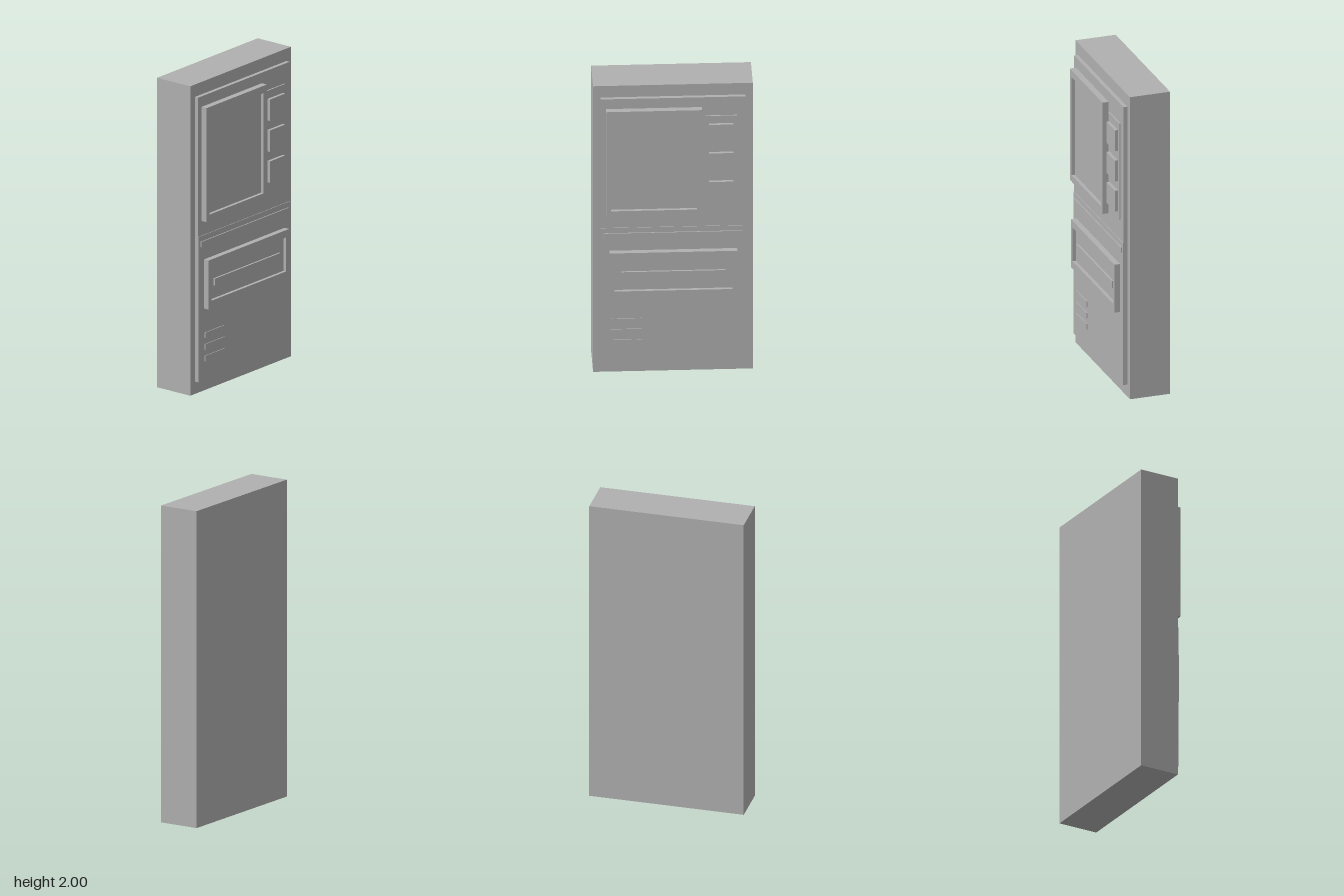
import * as THREE from 'three';

const grey = new THREE.MeshStandardMaterial({ color: 0xb0b0b0 });
grey.name = 'grey';

// Box given by its limits on each axis
function box(name, x0, x1, y0, y1, z0, z1) {
  const mesh = new THREE.Mesh(new THREE.BoxGeometry(x1 - x0, y1 - y0, z1 - z0), grey);
  mesh.position.set((x0 + x1) / 2, (y0 + y1) / 2, (z0 + z1) / 2);
  mesh.name = name;
  return mesh;
}

function trace(path, x0, x1, y0, y1) {
  path.moveTo(x0, y0);
  path.lineTo(x1, y0);
  path.lineTo(x1, y1);
  path.lineTo(x0, y1);
  path.closePath();
  return path;
}

// Rectangular frame with a rectangular opening
function frame(name, outer, inner, z0, z1) {
  const shape = trace(new THREE.Shape(), ...outer);
  shape.holes.push(trace(new THREE.Path(), ...inner));
  const geometry = new THREE.ExtrudeGeometry(shape, { depth: z1 - z0, bevelEnabled: false });
  const mesh = new THREE.Mesh(geometry, grey);
  mesh.position.z = z0;
  mesh.name = name;
  return mesh;
}

export function createModel() {
  const model = new THREE.Group();
  model.name = 'wallTerminal';

  // Cabinet and its front panels
  model.add(
    box('cabinet', -0.49, 0.49, 0, 2, -0.164, 0.098),
    box('frontPanel', -0.445, 0.445, 0.08, 1.92, 0.09, 0.123),
    box('lowerPanel', -0.445, 0.445, 0.08, 1.02, 0.098, 0.127),
    box('dividerStrip', -0.426, 0.426, 0.95, 0.985, 0.12, 0.134)
  );

  // Screen set into a raised frame
  model.add(
    frame('screenFrame', [-0.412, 0.176, 1.115, 1.852], [-0.382, 0.145, 1.157, 1.805], 0.115, 0.163),
    box('screen', -0.39, 0.153, 1.15, 1.812, 0.115, 0.142)
  );

  // Button column
  model.add(box('buttonPlate', 0.197, 0.392, 1.155, 1.793, 0.115, 0.132));
  for (const y of [1.272, 1.472, 1.672]) {
    model.add(box('button', 0.218, 0.368, y - 0.069, y + 0.069, 0.125, 0.152));
  }

  // Recessed slot tray with a raised bar
  model.add(
    frame('trayFrame', [-0.392, 0.392, 0.545, 0.862], [-0.363, 0.363, 0.595, 0.815], 0.115, 0.163),
    box('trayBack', -0.37, 0.37, 0.588, 0.822, 0.115, 0.142),
    box('traySlot', -0.32, 0.32, 0.68, 0.724, 0.13, 0.154)
  );

  // Vent bars
  for (const y of [0.22, 0.295, 0.37]) {
    model.add(box('ventBar', -0.385, -0.195, y - 0.018, y + 0.018, 0.12, 0.132));
  }
  return model;
}
